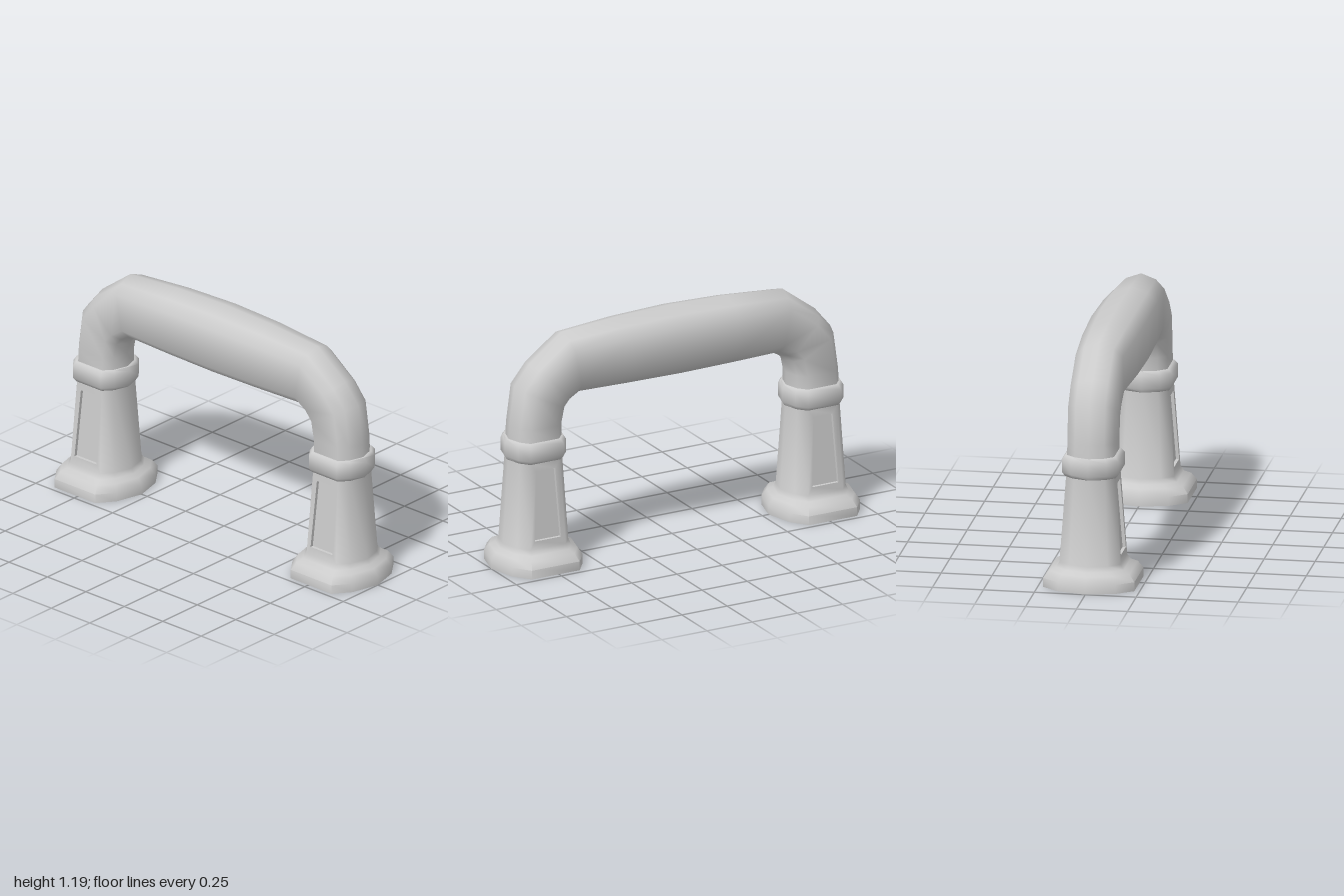
import * as THREE from 'three';
import { mergeGeometries, toCreasedNormals } from 'three/addons/utils/BufferGeometryUtils.js';

const material = new THREE.MeshStandardMaterial({ color: 0xcccccc, side: THREE.DoubleSide });
const CREASE = THREE.MathUtils.degToRad(60);

// Ten-sided outline: pointed at both ends, flat on the two sides
const quarter = [[1, 0], [0.84, 0.63], [0.57, 1]];
const half = [...quarter, [-0.57, 1], [-0.84, 0.63]];
const outline = [...half, ...half.map(([u, v]) => [-u, -v])];

// Cross-section between an outer and an inner point, with half depth b
function section([xo, yo, xi, yi, b]) {
  return outline.map(([u, v]) => [
    (xo + xi) / 2 + u * (xo - xi) / 2,
    (yo + yi) / 2 + u * (yo - yi) / 2,
    v * b,
  ]);
}

// Upright section centred on the leg axis
const level = ([y, a, b]) => section([a, y, -a, y, b]);

// Skin a list of rings, leaving out faces where skip(row, column) is true
function loft(rings, skip = () => false) {
  const n = rings[0].length;
  const index = [];
  for (let i = 0; i < rings.length - 1; i++) {
    for (let j = 0; j < n; j++) {
      if (skip(i, j)) continue;
      const k = (j + 1) % n;
      const a = i * n + j, b = i * n + k;
      index.push(a, a + n, b + n, a, b + n, b);
    }
  }
  const geometry = new THREE.BufferGeometry();
  geometry.setAttribute('position', new THREE.Float32BufferAttribute(rings.flat(2), 3));
  geometry.setIndex(index);
  return geometry;
}

function mesh(name, geometry) {
  const m = new THREE.Mesh(toCreasedNormals(geometry, CREASE), material);
  m.name = name;
  return m;
}

// Leg sizes where the tapered shaft starts and ends: height, half width, half depth
const shaftBottom = [0.12, 0.168, 0.15];
const shaftTop = [0.55, 0.14, 0.12];

// Sunken trapezoid panel with its frame, filling one flat side of the shaft
function recessedPanel() {
  const zAt = (y) => THREE.MathUtils.mapLinear(y, shaftBottom[0], shaftTop[0], shaftBottom[2], shaftTop[2]);
  const ring = (y0, w0, y1, w1, depth) => [
    [-w0, y0, zAt(y0) - depth], [-w1, y1, zAt(y1) - depth],
    [w1, y1, zAt(y1) - depth], [w0, y0, zAt(y0) - depth],
  ];
  const centre = [0, 0.335, zAt(0.335) - 0.016];
  return loft([
    ring(shaftBottom[0], shaftBottom[1] * 0.57, shaftTop[0], shaftTop[1] * 0.57, 0),
    ring(0.16, 0.072, 0.51, 0.053, 0),
    ring(0.16, 0.072, 0.51, 0.053, 0.016),
    [centre, centre, centre, centre],
  ]);
}

function createLeg(name, x) {
  const leg = new THREE.Group();
  leg.name = name;

  // Flared hollow foot and tapered shaft with a panel front and back
  const rows = [
    [0, 0.2325, 0.224], [0.045, 0.2325, 0.224], [0.08, 0.208, 0.198],
    [0.095, 0.18, 0.166], shaftBottom, shaftTop,
  ];
  const body = loft(rows.map(level), (i, j) => i === 4 && (j === 2 || j === 7));
  const front = recessedPanel();
  const back = recessedPanel().rotateY(Math.PI);
  leg.add(mesh('footAndShaft', mergeGeometries([body, front, back])));

  // Bevelled collar
  const collar = [
    [0.55, 0.135, 0.113], [0.55, 0.146, 0.124], [0.57, 0.158, 0.139],
    [0.635, 0.158, 0.139], [0.655, 0.146, 0.124], [0.655, 0.13, 0.108],
  ];
  leg.add(mesh('collar', loft(collar.map(level))));

  leg.position.x = x;
  return leg;
}

// Bent grip: outer x, y, inner x, y and half depth, from right end to the middle
function createGrip() {
  const side = [
    [0.905, 0.64, 0.63, 0.64, 0.115],
    [0.9, 0.72, 0.63, 0.72, 0.115],
    [0.873, 0.92, 0.615, 0.785, 0.115],
    [0.79, 1.02, 0.59, 0.815, 0.115],
    [0.61, 1.155, 0.55, 0.837, 0.116],
    [0.3, 1.178, 0.28, 0.833, 0.133],
  ];
  const middle = [0, 1.187, 0, 0.83, 0.139];
  const mirrored = side.map(([xo, yo, xi, yi, b]) => [-xo, yo, -xi, yi, b]).reverse();
  return mesh('grip', loft([...side, middle, ...mirrored].map(section)));
}

export function createModel() {
  const model = new THREE.Group();
  model.name = 'handle';
  model.add(createLeg('leftLeg', 0.7675), createLeg('rightLeg', -0.7675), createGrip());
  return model;
}
